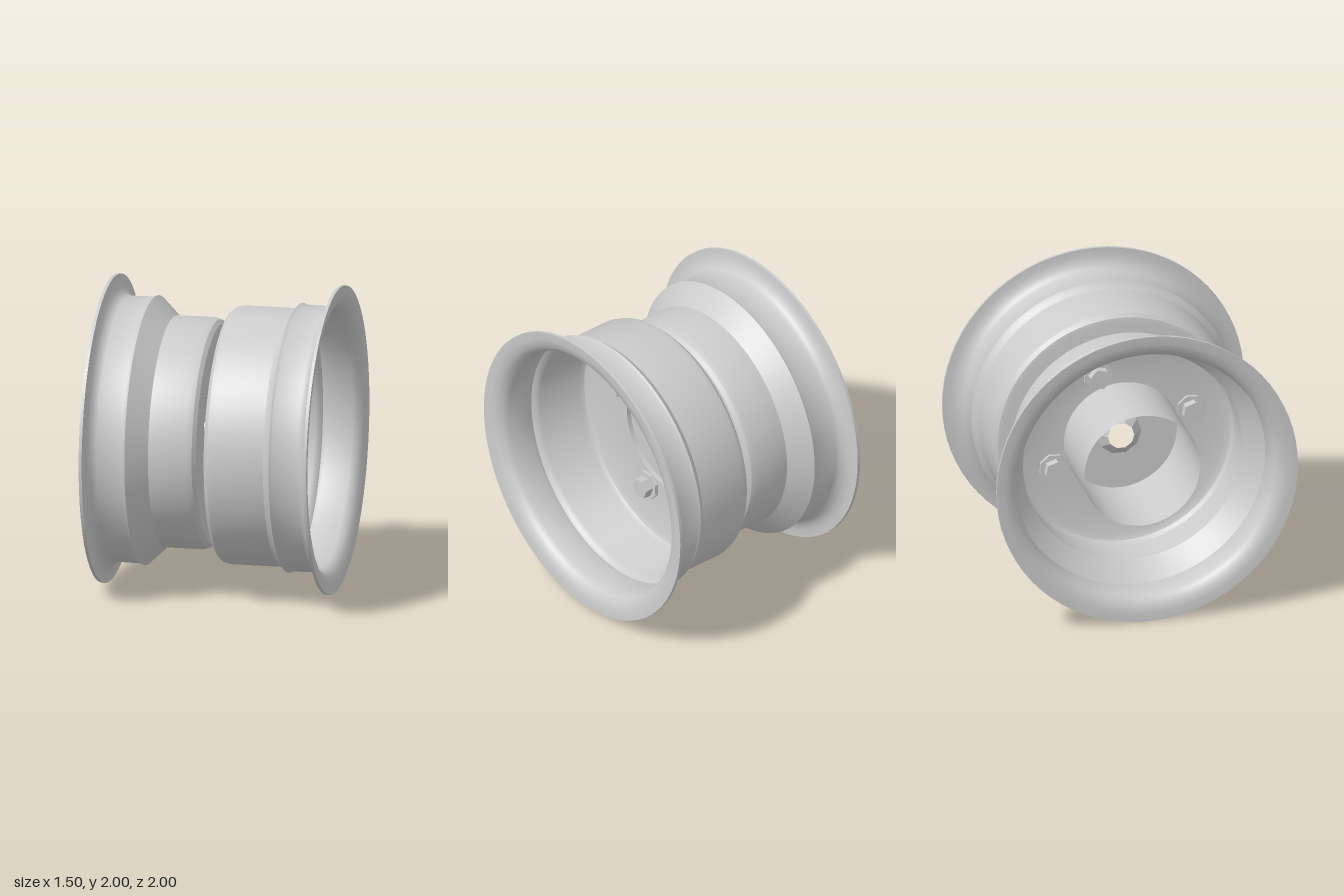
import * as THREE from 'three';
import { toCreasedNormals } from 'three/addons/utils/BufferGeometryUtils.js';

const SEGMENTS = 72;
const grey = new THREE.MeshStandardMaterial({ color: 0xcccccc });
const greyThin = new THREE.MeshStandardMaterial({ color: 0xcccccc, side: THREE.DoubleSide });
const greyFlat = new THREE.MeshStandardMaterial({ color: 0xcccccc, flatShading: true, side: THREE.DoubleSide });

// Revolve [radius, x] points about the x axis
function revolve(name, points, material, segments = SEGMENTS) {
  const lathe = new THREE.LatheGeometry(points.map(([r, x]) => new THREE.Vector2(r, x)), segments);
  lathe.rotateZ(-Math.PI / 2);
  const mesh = new THREE.Mesh(toCreasedNormals(lathe, 0.5), material);
  mesh.name = name;
  return mesh;
}

// Closed wheel section: outer skin from hub to lip, then inner skin back to the hub
function wheel(name, outer, inner, mirrored) {
  let section = [...outer, ...inner, outer[0]];
  if (mirrored) section = section.map(([r, x]) => [r, -x]).reverse();
  return revolve(name, section, grey);
}

// The flared bead seat and lip are common to both wheels
const lipOuter = [[0.862, 0.495], [0.86, 0.66], [0.875, 0.69], [0.91, 0.715], [0.95, 0.727], [1, 0.73]];
const lipInner = [[1, 0.75], [0.945, 0.747], [0.895, 0.735], [0.86, 0.705], [0.842, 0.67], [0.842, 0.5]];

// Prism along x, centred at the given x
function prism(name, radius, length, sides, x) {
  const geometry = new THREE.CylinderGeometry(radius, radius, length, sides);
  geometry.rotateZ(-Math.PI / 2);
  const mesh = new THREE.Mesh(geometry, greyFlat);
  mesh.name = name;
  mesh.position.x = x;
  return mesh;
}

// Through bolt with a washer and hex nut on the inside of each wheel disc
function bolt() {
  const group = new THREE.Group();
  group.name = 'wheelBolt';
  group.add(prism('boltShank', 0.04, 0.14, 10, 0));
  for (const side of [-1, 1]) {
    group.add(prism('washer', 0.098, 0.025, 8, side * 0.07));
    group.add(prism('hexNut', 0.07, 0.06, 6, side * 0.11));
  }
  return group;
}

export function createModel() {
  const model = new THREE.Group();
  model.name = 'dualWheelRim';
  const assembly = new THREE.Group();
  assembly.name = 'wheelAssembly';
  assembly.position.y = 1;
  model.add(assembly);

  // Wide, straight-sided wheel
  assembly.add(wheel('straightWheel',
    [[0.388, 0.026], [0.77, 0.026], [0.803, 0.033], [0.827, 0.057], [0.836, 0.09],
      [0.836, 0.43], [0.85, 0.455], [0.873, 0.475], ...lipOuter],
    [...lipInner, [0.852, 0.475], [0.832, 0.46], [0.816, 0.43],
      [0.816, 0.105], [0.8, 0.075], [0.76, 0.058], [0.388, 0.058]], false));

  // Wheel with a conical step down to a narrower drum
  assembly.add(wheel('steppedWheel',
    [[0.388, 0.03], [0.68, 0.03], [0.712, 0.037], [0.738, 0.06], [0.75, 0.1],
      [0.75, 0.345], [0.765, 0.362], [0.873, 0.475], ...lipOuter],
    [...lipInner, [0.852, 0.478], [0.75, 0.372], [0.73, 0.35],
      [0.73, 0.11], [0.712, 0.08], [0.67, 0.06], [0.388, 0.06]], true));

  // Thin open hub tube with a recessed end plate
  assembly.add(revolve('hubTube', [[0.385, -0.61], [0.385, 0.026], [0.14, 0.026]], greyThin));

  // Countersunk centre hole
  const countersink = revolve('centreHole', [[0.148, 0.026], [0.088, -0.03]], greyFlat, 10);
  assembly.add(countersink);

  // Four bolts on a circle around the hub
  for (let i = 0; i < 4; i++) {
    const angle = 0.34 + i * Math.PI / 2;
    const b = bolt();
    b.position.set(0, 0.485 * Math.sin(angle), 0.485 * Math.cos(angle));
    b.rotation.x = -angle;
    assembly.add(b);
  }
  return model;
}
